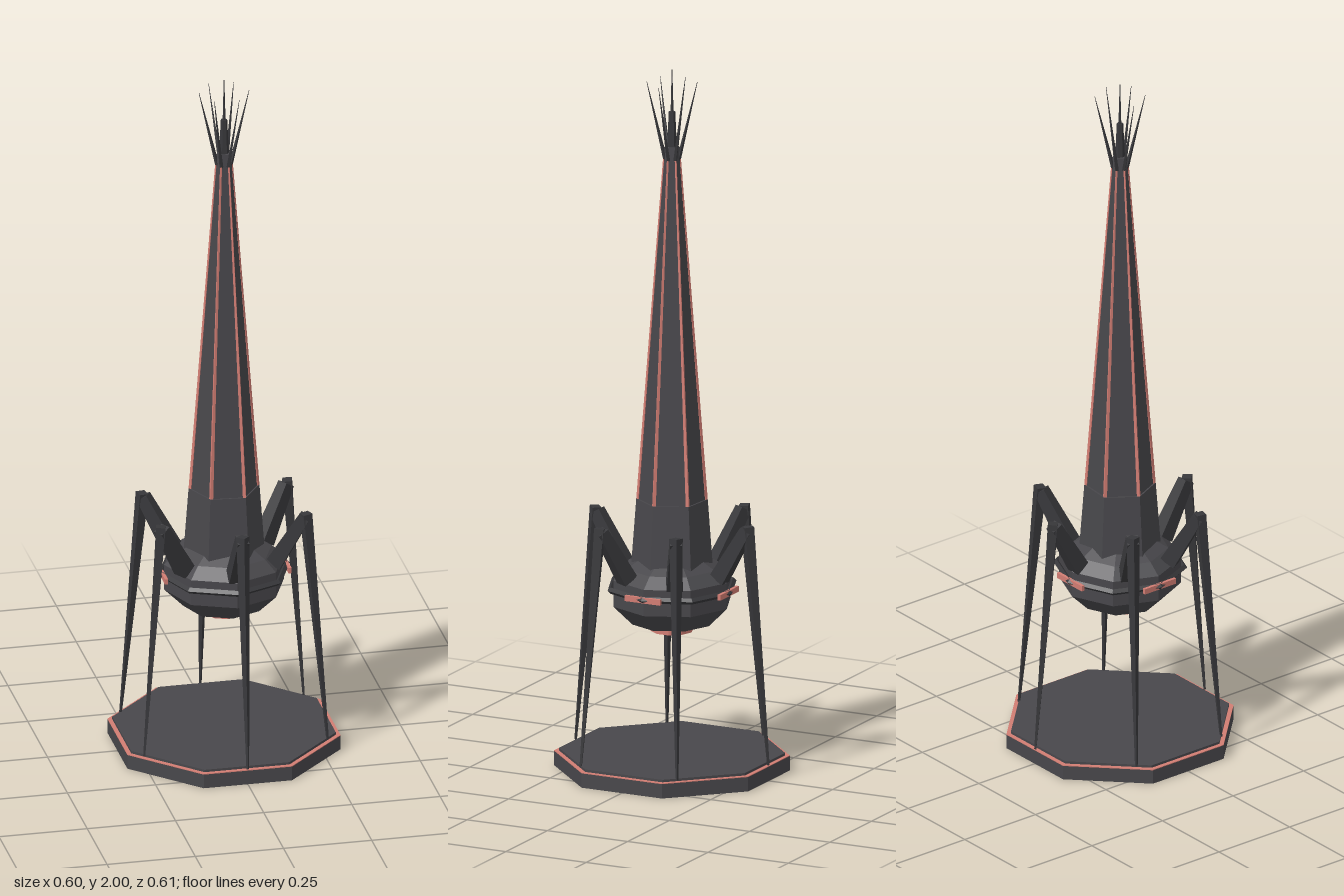
import * as THREE from 'three';

const mat = (name, color) => {
  const m = new THREE.MeshStandardMaterial({ color });
  m.name = name;
  return m;
};

export function createModel() {
  const hull = mat('charcoal hull', 0x48474b);
  const limb = mat('dark limb', 0x38383b);
  const glow = mat('coral trim', 0xd27d73);
  const model = new THREE.Group();

  // Faceted geometry with one flat normal per face
  const add = (name, geo, material, parent = model) => {
    const flat = geo.index ? geo.toNonIndexed() : geo;
    flat.computeVertexNormals();
    const mesh = new THREE.Mesh(flat, material);
    mesh.name = name;
    parent.add(mesh);
    return mesh;
  };

  // Upright prism or frustum from y0 to y1
  const prism = (name, r0, r1, y0, y1, sides, turn, material) => {
    const mesh = add(name, new THREE.CylinderGeometry(r1, r0, y1 - y0, sides), material);
    mesh.position.y = (y0 + y1) / 2;
    mesh.rotation.y = turn;
    return mesh;
  };

  // Tapered bar between two points
  const bar = (name, a, b, ra, rb, material, parent, sides = 4, start = 0) => {
    const dir = b.clone().sub(a);
    const geo = new THREE.CylinderGeometry(rb, ra, dir.length(), sides, 1, false, start);
    const mesh = add(name, geo, material, parent);
    mesh.position.copy(a).add(b).multiplyScalar(0.5);
    mesh.quaternion.setFromUnitVectors(new THREE.Vector3(0, 1, 0), dir.normalize());
    return mesh;
  };

  // Octagonal base with a recessed trim border
  const oct = Math.PI / 8;
  const k = 1 / Math.cos(oct);
  prism('basePlate', 0.302 * k, 0.302 * k, 0, 0.041, 8, oct, hull);
  prism('baseTrim', 0.302 * k, 0.302 * k, 0.041, 0.043, 8, oct, glow);
  prism('baseDeck', 0.29 * k, 0.29 * k, 0.043, 0.05, 8, oct, hull);

  // Faceted pod
  const profile = [[0, 0.42], [0.115, 0.42], [0.17, 0.475], [0.17, 0.55], [0.135, 0.58], [0.09, 0.605], [0, 0.605]];
  add('pod', new THREE.LatheGeometry(profile.map(p => new THREE.Vector2(...p)), 8), hull);
  const belt = add('podBelt', new THREE.TorusGeometry(0.178, 0.009, 4, 8), limb);
  belt.rotation.x = Math.PI / 2;
  belt.position.y = 0.522;
  prism('thruster', 0.06, 0.06, 0.395, 0.425, 10, 0, glow);

  // Slim coloured plates on the sides and back of the pod
  for (const turn of [-1, 1, 2]) {
    const holder = new THREE.Group();
    holder.name = 'podPlate';
    holder.rotation.y = turn * Math.PI / 2;
    add('podPlateStrip', new THREE.BoxGeometry(0.11, 0.016, 0.009), glow, holder).position.set(0, 0.522, 0.175);
    model.add(holder);
  }

  // Hexagonal spire
  const twist = THREE.MathUtils.degToRad(25);
  prism('spireCollar', 0.113, 0.099, 0.58, 0.77, 6, twist, hull);
  prism('spire', 0.094, 0.02, 0.77, 1.78, 6, twist, hull);
  prism('spireTip', 0.015, 0.009, 1.75, 1.88, 6, twist, limb);
  prism('mast', 0.005, 0.001, 1.86, 2.0, 5, 0, limb);

  for (let i = 0; i < 6; i++) {
    const sector = new THREE.Group();
    sector.name = 'spireSector';
    sector.rotation.y = twist + i * Math.PI / 3;
    model.add(sector);
    // Trim along each spire edge
    bar('edgeTrim', new THREE.Vector3(0, 0.77, 0.093), new THREE.Vector3(0, 1.75, 0.0215),
      0.006, 0.003, glow, sector);
    // Flared needle at the crown
    bar('crownNeedle', new THREE.Vector3(0, 1.74, 0.018), new THREE.Vector3(0, 1.965, 0.07),
      0.006, 0.0006, limb, sector);
  }

  // Six jointed legs
  for (let i = 0; i < 6; i++) {
    const leg = new THREE.Group();
    leg.name = 'leg';
    leg.rotation.y = i * Math.PI / 3;
    model.add(leg);
    const hip = new THREE.Vector3(0, 0.56, 0.147);
    const knee = new THREE.Vector3(0, 0.71, 0.234);
    bar('upperLeg', hip, knee, 0.032, 0.023, limb, leg, 4, Math.PI / 4);
    bar('lowerLeg', new THREE.Vector3(0, 0.72, 0.237), new THREE.Vector3(0, 0.045, 0.3),
      0.019, 0.004, limb, leg);
  }
  return model;
}
